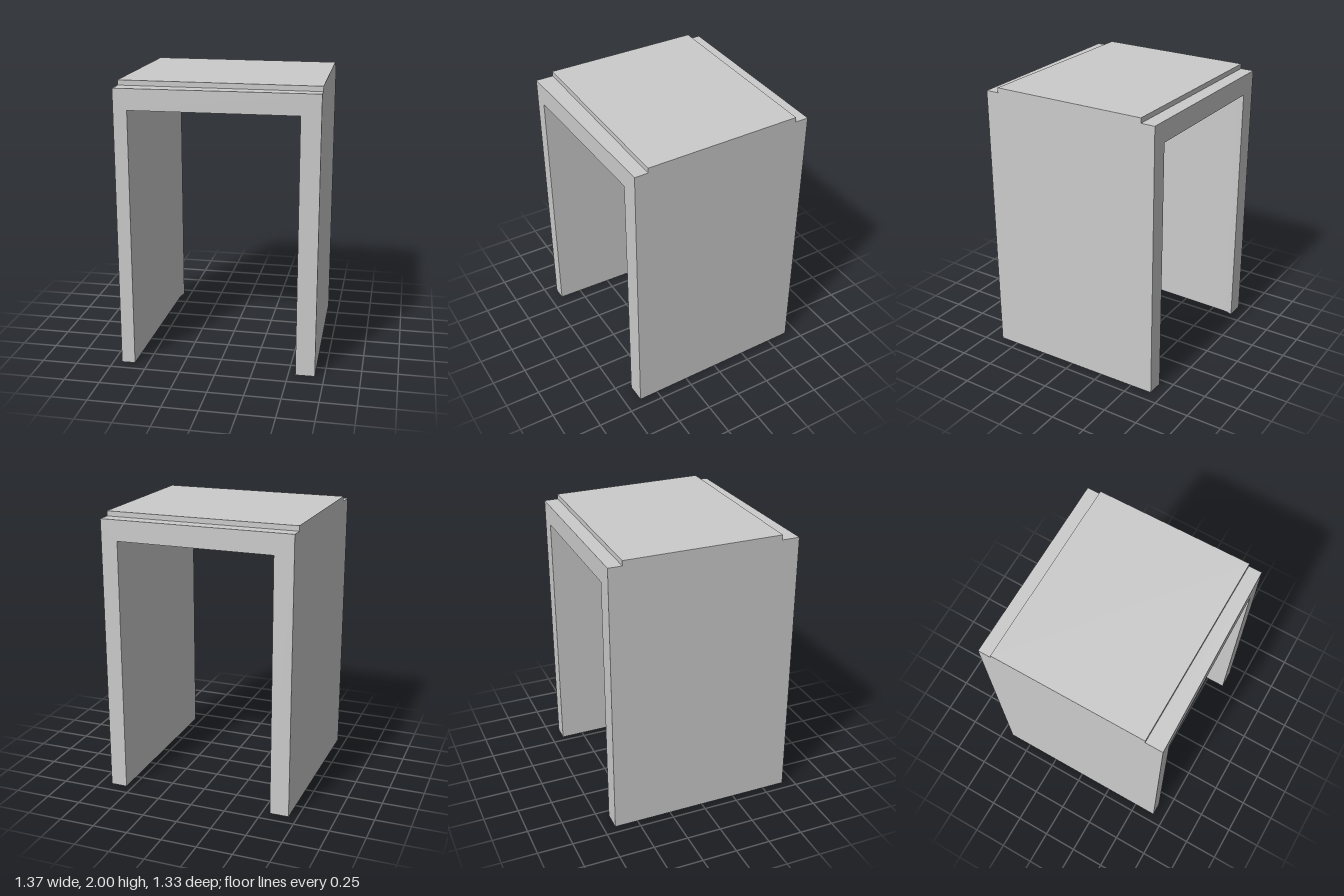
import * as THREE from 'three';

const CEILING = 1.82, LEDGE = 1.965, TOP = 2;
const OUTER_X = -0.69;

// Stations from front to back:
// z at the -x side, z at the +x side, roof height, inner face of the -x wall
const STATIONS = [
  [0.665, 0.64, LEDGE, -0.595],
  [0.54, 0.546, LEDGE, -0.593],
  [0.54, 0.546, TOP, -0.593],
  [-0.572, -0.564, TOP, -0.572],
  [-0.572, -0.564, LEDGE, -0.572],
  [-0.615, -0.61, LEDGE, -0.57],
  [-0.668, -0.663, LEDGE, -0.555],
];

// Upside-down U cross-section, counter-clockwise seen from the front
function section([zLeft, zRight, roof, innerLeft]) {
  const outerRight = 0.675 + 0.0154 * zRight;
  const innerRight = 0.548 + 0.003 * zRight;
  const outline = [
    [OUTER_X, 0], [innerLeft, 0], [innerLeft, CEILING], [innerRight, CEILING],
    [innerRight, 0], [outerRight, 0], [outerRight, roof], [OUTER_X, roof],
  ];
  return outline.map(([x, y]) => {
    const t = (x - OUTER_X) / (outerRight - OUTER_X);
    return [x, y, zLeft + (zRight - zLeft) * t];
  });
}

function createFrameGeometry() {
  const rings = STATIONS.map(section);
  const positions = [];
  const quad = (a, b, c, d) => [a, b, c, a, c, d].forEach((p) => positions.push(...p));

  // Walls, ceiling, roof and the two roof steps
  for (let s = 0; s < rings.length - 1; s++) {
    const front = rings[s], back = rings[s + 1];
    for (let i = 0; i < 8; i++) {
      const j = (i + 1) % 8;
      const isStep = STATIONS[s][0] === STATIONS[s + 1][0];
      if (isStep && i !== 6) continue;
      quad(front[i], back[i], back[j], front[j]);
    }
  }

  // Front and back ends: two posts and a lintel each
  const first = rings[0], last = rings[rings.length - 1];
  for (const [a, b, c, d] of [[0, 1, 2, 7], [2, 3, 6, 7], [3, 4, 5, 6]]) {
    quad(first[a], first[b], first[c], first[d]);
    quad(last[d], last[c], last[b], last[a]);
  }

  const geometry = new THREE.BufferGeometry();
  geometry.setAttribute('position', new THREE.Float32BufferAttribute(positions, 3));
  geometry.computeVertexNormals();
  return geometry;
}

export function createModel() {
  const group = new THREE.Group();
  group.name = 'portal';
  const material = new THREE.MeshStandardMaterial({ color: 0xcccccc, flatShading: true });
  const frame = new THREE.Mesh(createFrameGeometry(), material);
  frame.name = 'portalFrame';
  group.add(frame);
  return group;
}
